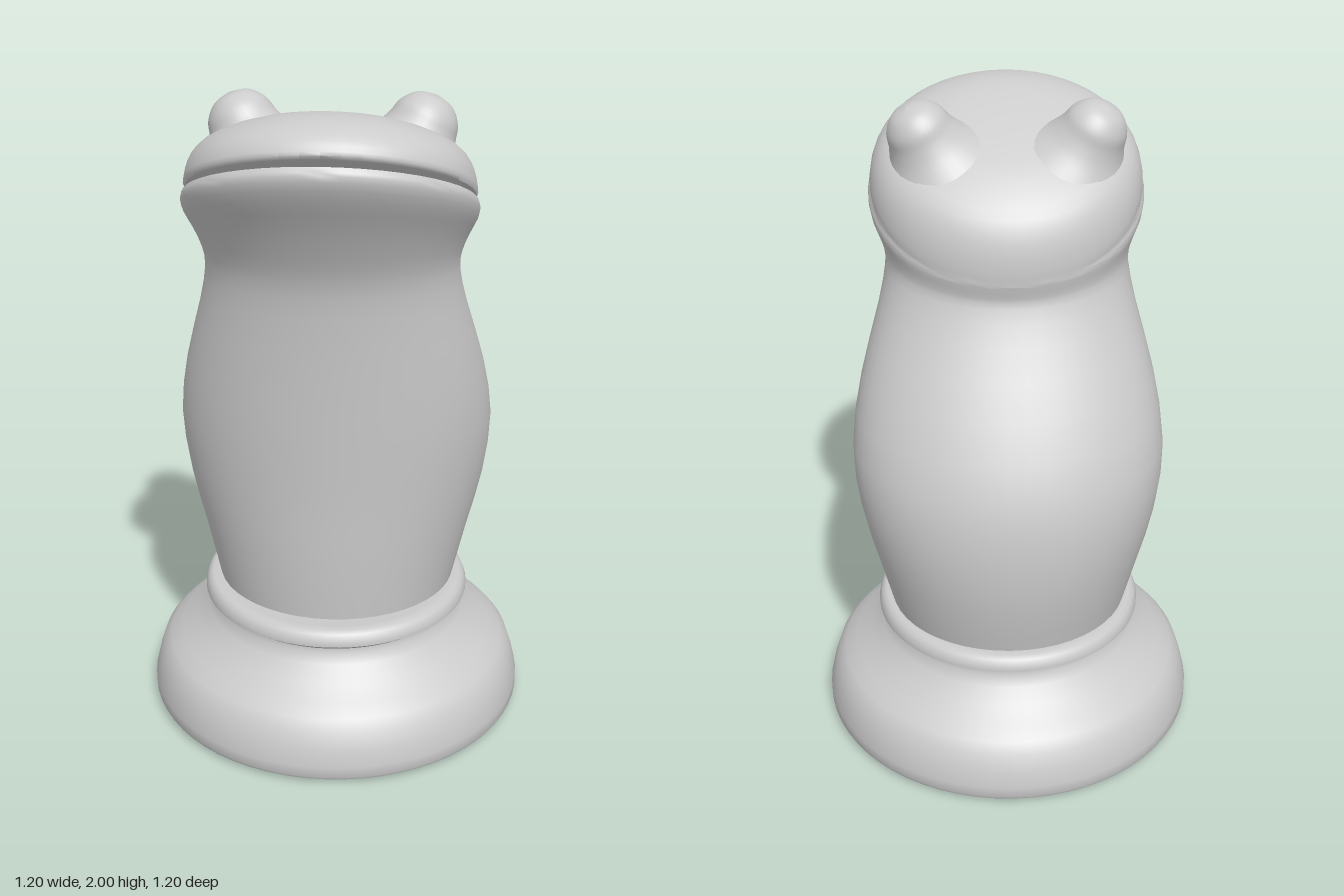
import * as THREE from 'three';
import { toCreasedNormals } from 'three/addons/utils/BufferGeometryUtils.js';

const SEG = 48;
const material = new THREE.MeshStandardMaterial({ color: 0xcccccc });

function add(group, geometry, name) {
  const mesh = new THREE.Mesh(geometry, material);
  mesh.name = name;
  group.add(mesh);
  return mesh;
}

// Tilted elliptical ring: front point (zf, yf), back point (zb, yb), half-width w.
// With flatFront the front half is pushed back to the chord between the mouth corners.
function ring([zf, yf, zb, yb, w], flatFront = false) {
  const points = [];
  for (let i = 0; i <= SEG; i++) {
    const a = (i / SEG) * Math.PI * 2;
    let c = Math.cos(a);
    if (flatFront && c > 0) c = 0;
    points.push([
      w * Math.sin(a),
      (yf + yb) / 2 + (c * (yf - yb)) / 2,
      (zf + zb) / 2 + (c * (zf - zb)) / 2,
    ]);
  }
  return points;
}

function loft(rings) {
  const index = [];
  const row = SEG + 1;
  for (let r = 0; r < rings.length - 1; r++) {
    for (let i = 0; i < SEG; i++) {
      const a = r * row + i;
      index.push(a, a + 1, a + row, a + 1, a + row + 1, a + row);
    }
  }
  const geometry = new THREE.BufferGeometry();
  geometry.setAttribute('position', new THREE.Float32BufferAttribute(rings.flat(2), 3));
  geometry.setIndex(index);
  return toCreasedNormals(geometry, 0.9);
}

// Insert a smooth in-between section after each given one
function refine(sections) {
  const at = (i) => sections[Math.max(0, Math.min(sections.length - 1, i))];
  return sections.flatMap((s, i) => {
    if (i === sections.length - 1) return [s];
    const mid = s.map((v, k) => (9 * (v + at(i + 1)[k]) - at(i - 1)[k] - at(i + 2)[k]) / 16);
    return [s, mid];
  });
}

export function createModel() {
  const model = new THREE.Group();
  model.name = 'frogChessPiece';

  // Turned pedestal with a collar
  const profile = [
    [0, 0], [0.53, 0], [0.595, 0.015], [0.6, 0.025], [0.6, 0.06], [0.588, 0.11], [0.57, 0.165],
    [0.545, 0.195], [0.505, 0.225], [0.455, 0.265], [0.415, 0.305], [0.396, 0.335], [0.395, 0.35],
    [0.424, 0.372], [0.424, 0.385], [0.414, 0.41], [0.4, 0.418], [0.37, 0.415], [0, 0.41],
  ].map(([x, y]) => new THREE.Vector2(x, y));
  add(model, toCreasedNormals(new THREE.LatheGeometry(profile, 64), 0.8), 'pedestal');

  // Body sections rise and tilt gradually into the lower lip
  const lower = [
    [0.33, 0.4, -0.37, 0.4, 0.375],
    [0.345, 0.6, -0.41, 0.58, 0.42],
    [0.355, 0.8, -0.425, 0.76, 0.465],
    [0.37, 1.0, -0.4, 0.95, 0.482],
    [0.385, 1.2, -0.3, 1.16, 0.45],
    [0.405, 1.42, -0.185, 1.35, 0.393],
    [0.425, 1.53, -0.13, 1.46, 0.37],
    [0.465, 1.62, -0.126, 1.49, 0.373],
    [0.52, 1.72, -0.13, 1.51, 0.392],
    [0.575, 1.805, -0.133, 1.525, 0.412],
    [0.603, 1.865, -0.135, 1.533, 0.418],
    [0.601, 1.89, -0.135, 1.536, 0.416],
  ];
  const lowerLip = [0.59, 1.902, -0.135, 1.538, 0.411];

  // Upper lip to crown of the head
  const upperLip = [0.57, 1.915, -0.135, 1.543, 0.408];
  const upper = [
    [0.577, 1.928, -0.136, 1.555, 0.411],
    [0.565, 1.95, -0.135, 1.6, 0.406],
    [0.535, 1.973, -0.125, 1.66, 0.39],
    [0.485, 1.991, -0.1, 1.72, 0.355],
    [0.41, 1.998, -0.05, 1.775, 0.285],
    [0.32, 1.983, 0.03, 1.84, 0.17],
    [0.19, 1.925, 0.19, 1.925, 0],
  ];
  add(model, loft([
    ...refine(lower).map((s) => ring(s)),
    ring(lowerLip),
    ring(lowerLip, true), // mouth slit reaches back to its corners
    ring(upperLip, true),
    ring(upperLip),
    ...refine(upper).map((s) => ring(s)),
  ]), 'bodyAndHead');

  // Bulging eyes with flared bases
  const eyeProfile = new THREE.SplineCurve([
    [0.165, -0.055], [0.125, -0.005], [0.102, 0.04], [0.088, 0.085], [0.053, 0.123], [0, 0.137],
  ].map(([x, y]) => new THREE.Vector2(x, y))).getPoints(20);
  eyeProfile[20].x = 0;
  for (const side of [1, -1]) {
    const eye = add(model, new THREE.LatheGeometry(eyeProfile, 32), side > 0 ? 'leftEye' : 'rightEye');
    eye.position.set(0.235 * side, 1.868, 0.145);
    const axis = new THREE.Vector3(0.4 * side, 0.87, -0.22).normalize();
    eye.quaternion.setFromUnitVectors(new THREE.Vector3(0, 1, 0), axis);
  }

  return model;
}
